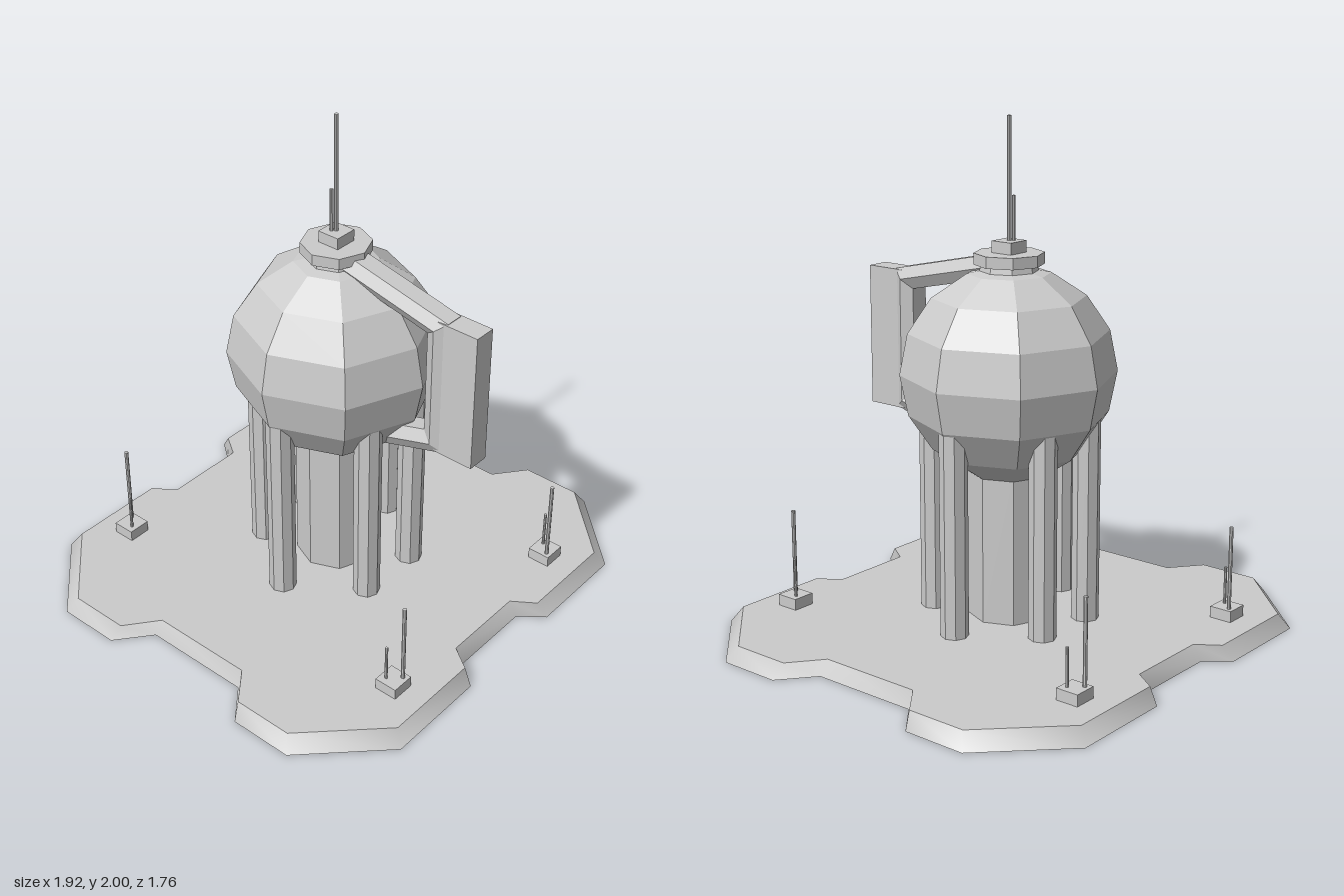
import * as THREE from 'three';

const faceted = new THREE.MeshStandardMaterial({ color: 0xcccccc, flatShading: true });
const openShell = new THREE.MeshStandardMaterial({ color: 0xcccccc, side: THREE.DoubleSide });

function add(parent, name, geometry, x = 0, y = 0, z = 0, material = faceted) {
  const mesh = new THREE.Mesh(geometry, material);
  mesh.name = name;
  mesh.position.set(x, y, z);
  parent.add(mesh);
  return mesh;
}

// Upright octagonal prism between two heights
function column(parent, name, rTop, rBottom, y0, y1, x = 0, z = 0) {
  return add(parent, name, new THREE.CylinderGeometry(rTop, rBottom, y1 - y0, 8), x, (y0 + y1) / 2, z);
}

function makeGeometry(positions, index) {
  const geometry = new THREE.BufferGeometry();
  geometry.setAttribute('position', new THREE.Float32BufferAttribute(positions, 3));
  geometry.setIndex(index);
  geometry.computeVertexNormals();
  return geometry;
}

// Mirror one quadrant of [x, z] points into a closed ring
function ring(quadrant) {
  const flipped = [...quadrant].reverse();
  return [
    ...quadrant,
    ...flipped.map(([x, z]) => [x, -z]),
    ...quadrant.map(([x, z]) => [-x, -z]),
    ...flipped.map(([x, z]) => [-x, z]),
  ];
}

// Notched slab, hollow below: a top plate and sloping sides
function baseGeometry(height) {
  const lower = ring([[0.175, 0.785], [0.25, 0.88], [0.67, 0.88], [0.96, 0.585], [0.96, 0.33], [0.825, 0.22]]);
  const upper = ring([[0.175, 0.75], [0.237, 0.84], [0.64, 0.84], [0.92, 0.555], [0.92, 0.312], [0.793, 0.212]]);
  const n = lower.length;
  const positions = [], index = [];
  for (const [points, y] of [[lower, 0], [upper, height], [upper, height]]) {
    for (const [x, z] of points) positions.push(x, y, z);
  }
  for (let i = 0; i < n; i++) {
    const j = (i + 1) % n;
    index.push(i, j, i + n, j, j + n, i + n);
  }
  const plate = THREE.ShapeUtils.triangulateShape(upper.map(([x, z]) => new THREE.Vector2(x, -z)), []);
  for (const [a, b, c] of plate) index.push(a + 2 * n, b + 2 * n, c + 2 * n);
  return makeGeometry(positions, index);
}

// Hexagonal pipe swept along a path in the z-y plane with mitred corners
function pipeGeometry(path) {
  const section = [[0.063, 0], [0.037, 0.045], [-0.037, 0.045], [-0.063, 0], [-0.037, -0.045], [0.037, -0.045]];
  const normals = path.slice(1).map(([z, y], i) => {
    const dz = z - path[i][0], dy = y - path[i][1], l = Math.hypot(dz, dy);
    return [-dy / l, dz / l];
  });
  const positions = [], index = [], n = section.length;
  path.forEach(([z, y], i) => {
    const a = normals[Math.max(i - 1, 0)];
    const b = normals[Math.min(i, normals.length - 1)];
    const s = 1 + a[0] * b[0] + a[1] * b[1];
    const mz = (a[0] + b[0]) / s, my = (a[1] + b[1]) / s;
    for (const [x, d] of section) positions.push(x, y + d * my, z + d * mz);
    if (i === 0) return;
    for (let j = 0; j < n; j++) {
      const p = (i - 1) * n + j, q = (i - 1) * n + (j + 1) % n;
      index.push(p, q, p + n, q, q + n, p + n);
    }
  });
  return makeGeometry(positions, index);
}

export function createModel() {
  const model = new THREE.Group();
  model.name = 'storageTank';

  // Hollow ground slab
  add(model, 'base', baseGeometry(0.06), 0, 0, 0, openShell);

  // Faceted tank on a central column
  add(model, 'tank', new THREE.SphereGeometry(0.418, 8, 8), 0, 1.026, 0);
  column(model, 'centralColumn', 0.16, 0.16, 0.058, 0.66);

  // Ring of six legs, reaching just through the plate
  const legs = new THREE.Group();
  legs.name = 'legs';
  model.add(legs);
  for (const side of [-1, 1]) {
    for (const [x, z] of [[0.326, 0], [0.134, 0.272], [0.134, -0.272]]) {
      column(legs, 'leg', 0.054, 0.054, 0.052, 0.91, side * x, z);
    }
  }

  // Cap with its masts
  column(model, 'capNeck', 0.107, 0.117, 1.4, 1.446);
  column(model, 'cap', 0.135, 0.135, 1.446, 1.49);
  add(model, 'mastBlock', new THREE.BoxGeometry(0.093, 0.05, 0.093), 0, 1.51, 0);
  column(model, 'mast', 0.008, 0.008, 1.5, 2);
  column(model, 'shortMast', 0.007, 0.007, 1.5, 1.705, -0.012, -0.012);

  // Feed pipe at the front with its housing
  add(model, 'feedPipe', pipeGeometry([[0.05, 1.437], [0.503, 1.336], [0.503, 0.844], [0.2, 0.752]]));
  add(model, 'pipeHousing', new THREE.BoxGeometry(0.09, 0.562, 0.173), 0, 1.089, 0.595);

  // Corner antennas
  for (const sx of [-1, 1]) {
    for (const sz of [-1, 1]) {
      const antenna = new THREE.Group();
      antenna.name = 'cornerAntenna';
      model.add(antenna);
      add(antenna, 'antennaBlock', new THREE.BoxGeometry(0.093, 0.053, 0.093), sx * 0.49, 0.0785, sz * 0.697);
      column(antenna, 'tallRod', 0.008, 0.008, 0.1, 0.44, sx * 0.465, sz * 0.722);
      column(antenna, 'shortRod', 0.006, 0.006, 0.1, 0.255, sx * 0.507, sz * 0.676);
    }
  }
  return model;
}
